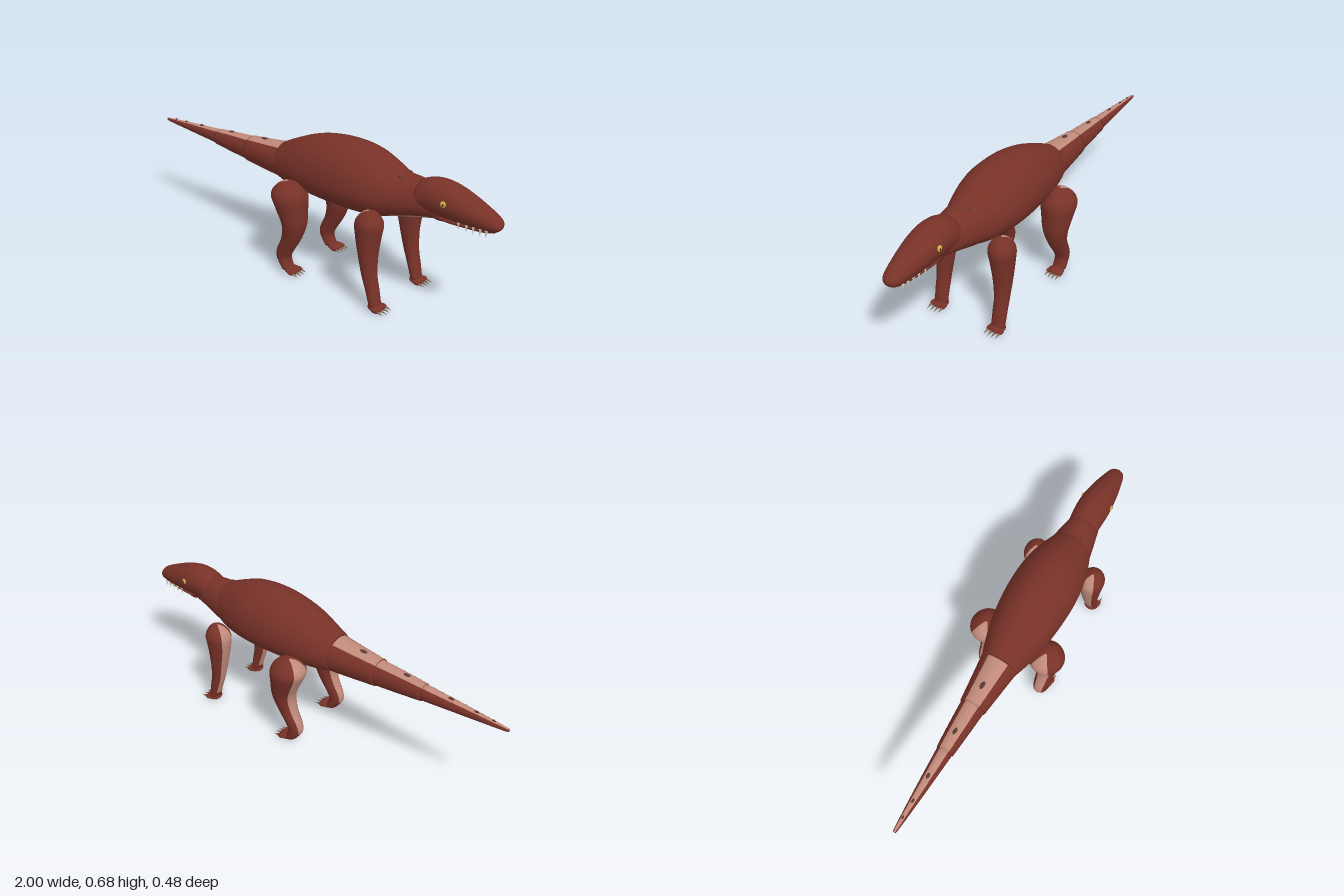
import * as THREE from 'three';

const mat = (name, color) => new THREE.MeshStandardMaterial({ name, color });

// Smoothly interpolate every column of a small table of cross-sections.
function sampler(rows) {
  const curves = rows[0].map((_, c) =>
    new THREE.SplineCurve(rows.map((r, i) => new THREE.Vector2(i, r[c]))));
  return t => curves.map(c => c.getPoint(t).y);
}

// Closed skin over rings; paint(section, angle) picks the material index.
function loft(name, rows, point, paint, materials, steps = 28, sides = 32) {
  const at = sampler(rows), pos = [], faces = materials.map(() => []);
  for (let i = 0; i <= steps; i++) {
    const s = at(i / steps);
    for (let j = 0; j < sides; j++) pos.push(...point(s, (j / sides) * Math.PI * 2));
  }
  for (let i = 0; i < steps; i++) {
    const s = at((i + 0.5) / steps);
    for (let j = 0; j < sides; j++) {
      const k = (j + 1) % sides, a = i * sides + j, b = i * sides + k;
      const angle = ((j + 0.5) / sides) * Math.PI * 2;
      faces[paint(s, angle)].push(a, a + sides, b, b, a + sides, b + sides);
    }
  }
  // End caps
  [0, steps].forEach(i => {
    const c = pos.length / 3, mid = [0, 0, 0];
    for (let j = 0; j < sides; j++)
      for (let d = 0; d < 3; d++) mid[d] += pos[(i * sides + j) * 3 + d] / sides;
    pos.push(...mid);
    for (let j = 0; j < sides; j++) {
      const a = i * sides + j, b = i * sides + (j + 1) % sides;
      faces[0].push(...(i ? [c, b, a] : [c, a, b]));
    }
  });
  const g = new THREE.BufferGeometry();
  g.setAttribute('position', new THREE.Float32BufferAttribute(pos, 3));
  g.setIndex(faces.flat());
  let start = 0;
  faces.forEach((f, m) => { g.addGroup(start, f.length, m); start += f.length; });
  g.computeVertexNormals();
  const mesh = new THREE.Mesh(g, materials);
  mesh.name = name;
  return mesh;
}

// Ring across the body axis: [x, top, bottom, half width]; angle 0 is straight down.
const trunkRing = widest => ([x, top, bottom, w], a) => {
  const y = bottom + (top - bottom) * widest, c = Math.cos(a);
  return [x, y - c * (c > 0 ? y - bottom : top - y), w * Math.sin(a)];
};
// Ring across a leg: [x, y, radius x, radius z, centre z]; angle 0 faces the rear.
const legRing = ([x, y, rx, rz, z], a) => [x - rx * Math.cos(a), y, z + rz * Math.sin(a)];
const near = (a, target, width) => Math.cos(a - target) > Math.cos(width);

export function createModel() {
  const root = new THREE.Group();
  const hide = mat('russet hide', 0x783228);
  const pale = mat('pale underside', 0xc08a7a);
  const claw = mat('horn claw', 0x85705a);
  const ivory = mat('ivory teeth', 0xe0d8c4);
  const yellow = mat('yellow eye', 0xd0b040);
  const dark = mat('dark pupil', 0x241a16);
  const scale = mat('brown scale', 0x5c3a32);
  const mouth = mat('mouth red', 0x5a1f1c);

  const add = (parent, name, geo, material, x, y, z) => {
    const m = new THREE.Mesh(geo, material);
    m.name = name;
    m.position.set(x, y, z);
    parent.add(m);
    return m;
  };
  const blob = (parent, name, material, p, s) =>
    add(parent, name, new THREE.SphereGeometry(1, 20, 14), material, ...p).scale.set(...s);

  const below = (width, from, to) => (s, a) =>
    (s[0] > from && s[0] < to && near(a, 0, width) ? 1 : 0);
  const back = (s, a) => (near(a, Math.PI, 0.6) ? 1 : 0);

  // Torso and neck
  root.add(loft('torso', [
    [-0.145, 0.57, 0.398, 0.088], [-0.08, 0.602, 0.385, 0.11], [0.02, 0.644, 0.376, 0.135],
    [0.13, 0.673, 0.371, 0.15], [0.25, 0.682, 0.37, 0.156], [0.36, 0.672, 0.373, 0.148],
    [0.46, 0.637, 0.385, 0.124], [0.545, 0.597, 0.414, 0.092],
  ], trunkRing(0.42), below(0.6, -0.06, 1), [hide, pale]));
  root.add(loft('neck', [
    [0.48, 0.605, 0.395, 0.108], [0.55, 0.602, 0.41, 0.096],
    [0.63, 0.597, 0.432, 0.078], [0.73, 0.565, 0.455, 0.055],
  ], trunkRing(0.43), below(0.7, 0, 1), [hide, pale], 14));

  // Tail in three tapering segments with a pale back
  [
    [[-0.37, 0.54, 0.412, 0.062], [-0.25, 0.552, 0.402, 0.076], [-0.12, 0.567, 0.393, 0.092]],
    [[-0.6, 0.519, 0.439, 0.041], [-0.48, 0.529, 0.426, 0.05], [-0.355, 0.537, 0.415, 0.058]],
    [[-1, 0.486, 0.474, 0.006], [-0.97, 0.49, 0.47, 0.011], [-0.8, 0.503, 0.458, 0.024], [-0.585, 0.517, 0.442, 0.038]],
  ].forEach((rows, i) =>
    root.add(loft('tailSegment' + (i + 1), rows, trunkRing(0.5), back, [hide, pale], 12)));

  // Small scales along the tail and behind the neck
  [[-0.28, 0.549, 0.02], [-0.51, 0.527, 0.017], [-0.73, 0.508, 0.014], [-0.85, 0.499, 0.011], [-0.93, 0.494, 0.008]]
    .forEach(([x, y, r]) => blob(root, 'tailScale', scale, [x, y, 0], [r, 0.005, r * 0.5]));
  [-1, 1].forEach(s => blob(root, 'neckScale', scale, [0.535, 0.594, 0.038 * s], [0.012, 0.006, 0.006]));

  // Head
  const head = new THREE.Group();
  head.name = 'head';
  root.add(head);
  head.add(loft('skull', [
    [0.622, 0.6, 0.458, 0.07], [0.67, 0.62, 0.464, 0.075], [0.73, 0.626, 0.466, 0.077],
    [0.79, 0.616, 0.466, 0.074], [0.86, 0.593, 0.466, 0.064], [0.93, 0.563, 0.467, 0.05],
    [0.975, 0.54, 0.473, 0.038], [0.994, 0.522, 0.485, 0.025], [1, 0.508, 0.496, 0.008],
  ], trunkRing(0.5), below(0.6, 0, 0.965), [hide, pale]));
  head.add(loft('lowerJaw', [
    [0.69, 0.485, 0.46, 0.035], [0.76, 0.486, 0.455, 0.049], [0.85, 0.484, 0.455, 0.042],
    [0.93, 0.484, 0.459, 0.031], [0.972, 0.484, 0.468, 0.017],
  ], trunkRing(0.6), below(1.1, 0, 1), [hide, pale], 14, 24));
  const tooth = new THREE.ConeGeometry(0.0065, 0.034, 8).rotateX(Math.PI);
  [-1, 1].forEach(s => {
    blob(head, 'eye', yellow, [0.77, 0.553, 0.07 * s], [0.015, 0.015, 0.0095]);
    blob(head, 'pupil', dark, [0.773, 0.553, 0.0785 * s], [0.004, 0.005, 0.002]);
    blob(head, 'mouthCorner', mouth, [0.74, 0.47, 0.044 * s], [0.025, 0.006, 0.008]);
    [[0.83, 0.042], [0.865, 0.04], [0.895, 0.038], [0.925, 0.036], [0.95, 0.033]]
      .forEach(([x, z]) => add(head, 'tooth', tooth, ivory, x, 0.466, z * s));
  });

  // Legs: mirrored pairs, listed from shoulder or hip down to the ankle
  const legs = {
    frontLeg: { foot: 0.525, rows: [
      [0.475, 0.462, 0.006, 0.006, 0.152], [0.473, 0.448, 0.038, 0.034, 0.152], [0.47, 0.405, 0.064, 0.059, 0.152],
      [0.468, 0.34, 0.058, 0.054, 0.153], [0.472, 0.25, 0.043, 0.045, 0.155], [0.484, 0.16, 0.035, 0.035, 0.157],
      [0.503, 0.09, 0.029, 0.034, 0.157], [0.52, 0.02, 0.023, 0.033, 0.157],
    ] },
    hindLeg: { foot: 0.035, rows: [
      [0.02, 0.466, 0.008, 0.008, 0.157], [0.02, 0.452, 0.052, 0.046, 0.157], [0.021, 0.405, 0.086, 0.082, 0.157],
      [0.035, 0.34, 0.074, 0.075, 0.157], [0.05, 0.26, 0.057, 0.06, 0.157], [0.03, 0.18, 0.048, 0.045, 0.157],
      [-0.005, 0.115, 0.043, 0.038, 0.157], [-0.017, 0.07, 0.037, 0.034, 0.157], [0.008, 0.02, 0.028, 0.033, 0.157],
    ] },
  };
  const clawGeo = new THREE.ConeGeometry(0.0075, 0.042, 10).rotateZ(-Math.PI / 2 - 0.2);
  for (const [name, { foot, rows }] of Object.entries(legs)) {
    [['left', 1], ['right', -1]].forEach(([side, s]) => {
      const leg = new THREE.Group();
      leg.name = name + ' ' + side;
      root.add(leg);
      const placed = rows.map(([x, y, rx, rz, z]) => [x, y, rx, rz, z * s]);
      const rear = ([, y], a) => (y > 0.06 && near(a, 0, 0.6) ? 1 : 0);
      leg.add(loft('limb', placed, legRing, rear, [hide, pale]));
      const z = 0.157 * s;
      blob(leg, 'foot', hide, [foot, 0.018, z], [0.036, 0.014, 0.038]);
      blob(leg, 'footPad', pale, [foot, 0.008, z], [0.03, 0.008, 0.03]);
      [-0.03, -0.01, 0.01, 0.03].forEach(dz => {
        const reach = foot + 0.022 - Math.abs(dz) * 0.2;
        blob(leg, 'toe', hide, [reach, 0.015, z + dz], [0.02, 0.01, 0.0105]);
        add(leg, 'claw', clawGeo, claw, reach + 0.026, 0.0125, z + dz);
      });
    });
  }
  return root;
}
